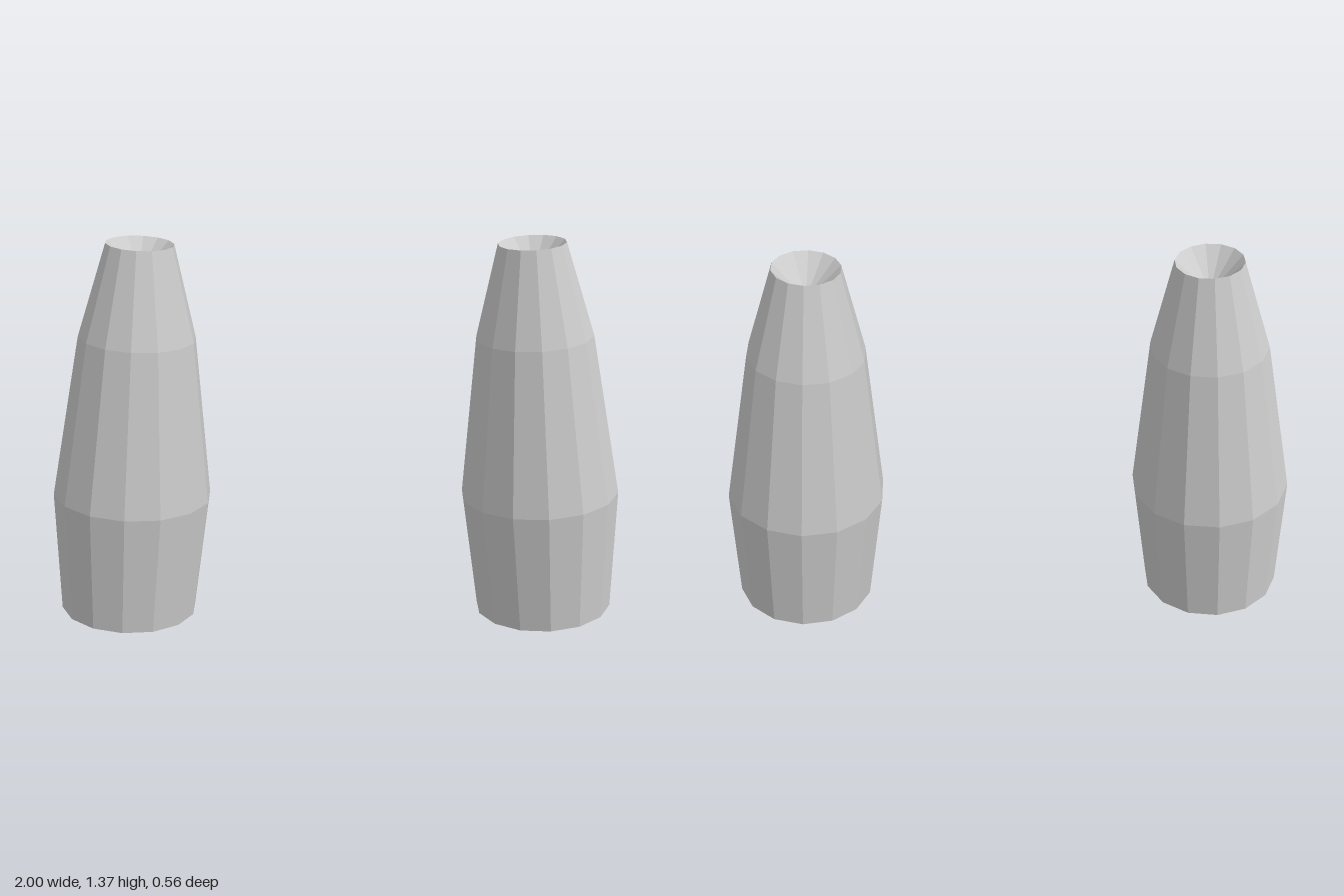
import * as THREE from 'three';

export function createModel() {
  const model = new THREE.Group();
  const material = new THREE.MeshStandardMaterial({ color: 0xcccccc, flatShading: true });

  // Closed profile (radius, height): intake cone, lip, tapered shell, exhaust cone
  const profile = [
    [0, 0.25], [0.173, 0], [0.243, 0],
    [0.28, 0.44], [0.205, 1.02], [0.118, 1.35],
    [0, 1.23],
  ].map(([r, y]) => new THREE.Vector2(r, y));
  const shell = new THREE.LatheGeometry(profile, 14);

  // Mirrored pair, tips leaning towards each other
  for (const side of [1, -1]) {
    const pod = new THREE.Mesh(shell, material);
    pod.name = side > 0 ? 'leftPod' : 'rightPod';
    pod.position.set(side * 0.757, 0.016, 0);
    pod.rotation.z = side * 0.065;
    model.add(pod);
  }
  return model;
}
